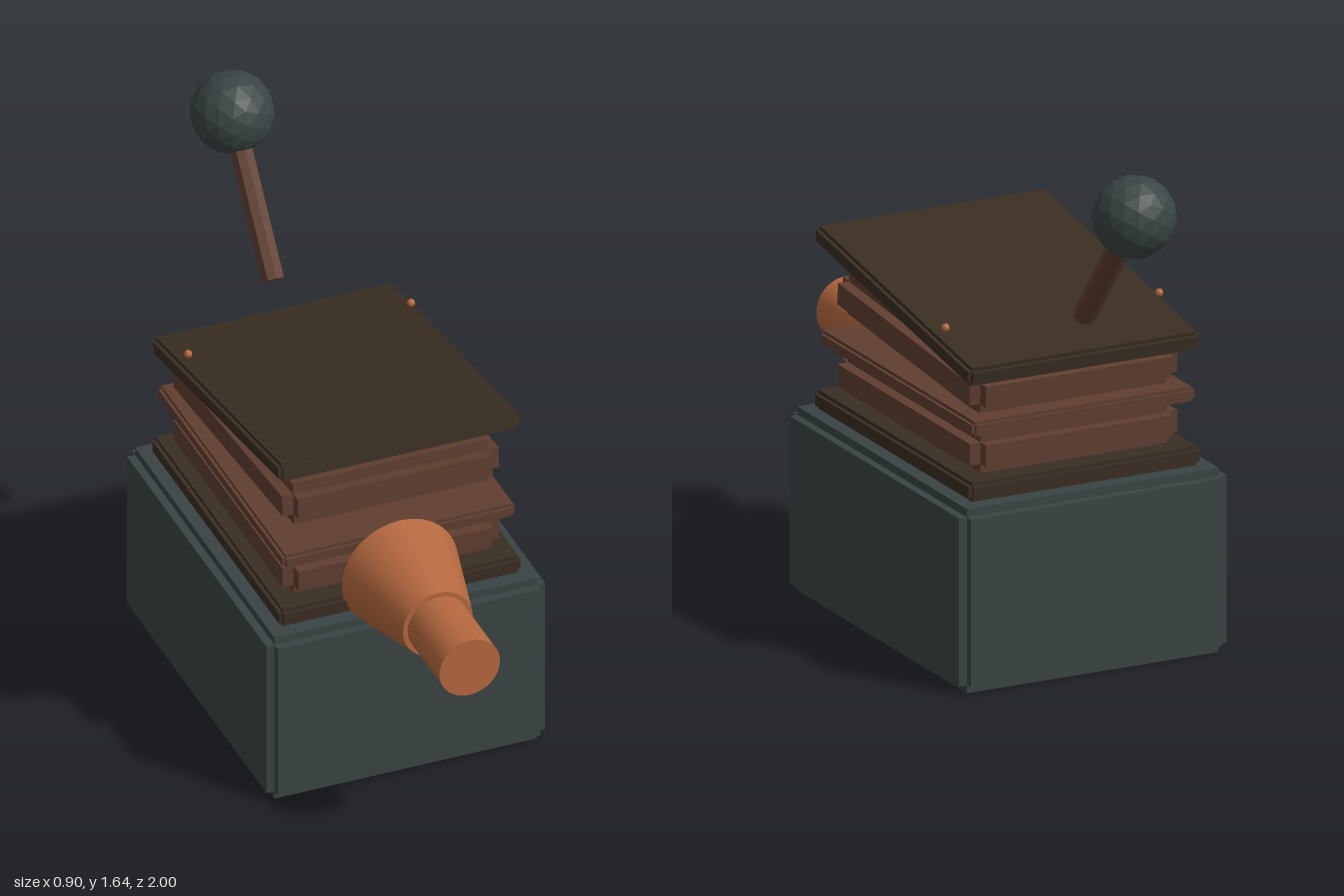
import * as THREE from 'three';

const mat = (name, color, flat = true) => {
  const m = new THREE.MeshStandardMaterial({ color, flatShading: flat });
  m.name = name;
  return m;
};

export function createModel() {
  const model = new THREE.Group();
  model.name = 'bellows';
  const iron = mat('dark iron', 0x3a4444);
  const board = mat('dark board', 0x3a2e22);
  const leather = mat('brown leather', 0x5f3e30);
  const copper = mat('copper', 0xb5683f, false);

  const add = (parent, name, geo, material, x = 0, y = 0, z = 0) => {
    const m = new THREE.Mesh(geo, material);
    m.name = name;
    m.position.set(x, y, z);
    parent.add(m);
    return m;
  };

  // Block with every edge rebated by n: three crossed boxes
  const rebatedBlock = (name, w, h, d, n, material, y, z, tilt = 0) => {
    const g = new THREE.Group();
    g.name = name;
    const k = 2 * n;
    add(g, name + 'Sides', new THREE.BoxGeometry(w, h - k, d - k), material);
    add(g, name + 'Faces', new THREE.BoxGeometry(w - k, h, d - k), material);
    add(g, name + 'Ends', new THREE.BoxGeometry(w - k, h - k, d), material);
    g.position.set(0, y, z);
    g.rotation.x = tilt;
    model.add(g);
  };

  // Base block and the bellows stack, opening towards the front
  rebatedBlock('base', 0.9, 0.58, 1.15, 0.026, iron, 0.29, -0.053);
  rebatedBlock('bottomBoard', 0.78, 0.06, 1.02, 0.012, board, 0.61, -0.05);
  rebatedBlock('lowerPleat', 0.7, 0.14, 0.93, 0.036, leather, 0.703, -0.05);
  rebatedBlock('middleRib', 0.75, 0.046, 1.0, 0.01, leather, 0.804, -0.05);
  rebatedBlock('upperPleat', 0.7, 0.14, 0.93, 0.036, leather, 0.925, -0.05, -0.08);
  rebatedBlock('topBoard', 0.78, 0.06, 1.02, 0.012, board, 1.05, -0.05, -0.16);

  // Copper spout: cone and pipe pointing forwards
  const spout = (name, rFront, rBack, z0, z1) => {
    const g = new THREE.CylinderGeometry(rFront, rBack, z1 - z0, 32);
    add(model, name, g.rotateX(Math.PI / 2), copper, 0, 0.678, (z0 + z1) / 2);
  };
  spout('spoutCone', 0.113, 0.188, 0.45, 0.75);
  spout('spoutPipe', 0.098, 0.098, 0.75, 1.0);

  // Small pivot pins beside the lid
  for (const s of [-1, 1]) {
    const pin = new THREE.SphereGeometry(0.013, 8, 6);
    add(model, s > 0 ? 'leftPin' : 'rightPin', pin, copper, s * 0.36, 1.065, -0.34);
  }

  // Slanted handle with a faceted knob
  const foot = new THREE.Vector3(0, 1.11, -0.548);
  const knobPos = new THREE.Vector3(0, 1.515, -0.871);
  const dir = knobPos.clone().sub(foot);
  const handle = add(model, 'handle', new THREE.CylinderGeometry(0.036, 0.036, dir.length(), 8), leather);
  handle.position.copy(foot).addScaledVector(dir, 0.5);
  handle.quaternion.setFromUnitVectors(new THREE.Vector3(0, 1, 0), dir.clone().normalize());
  add(model, 'knob', new THREE.IcosahedronGeometry(0.128, 2), iron, 0, knobPos.y, knobPos.z);

  return model;
}
